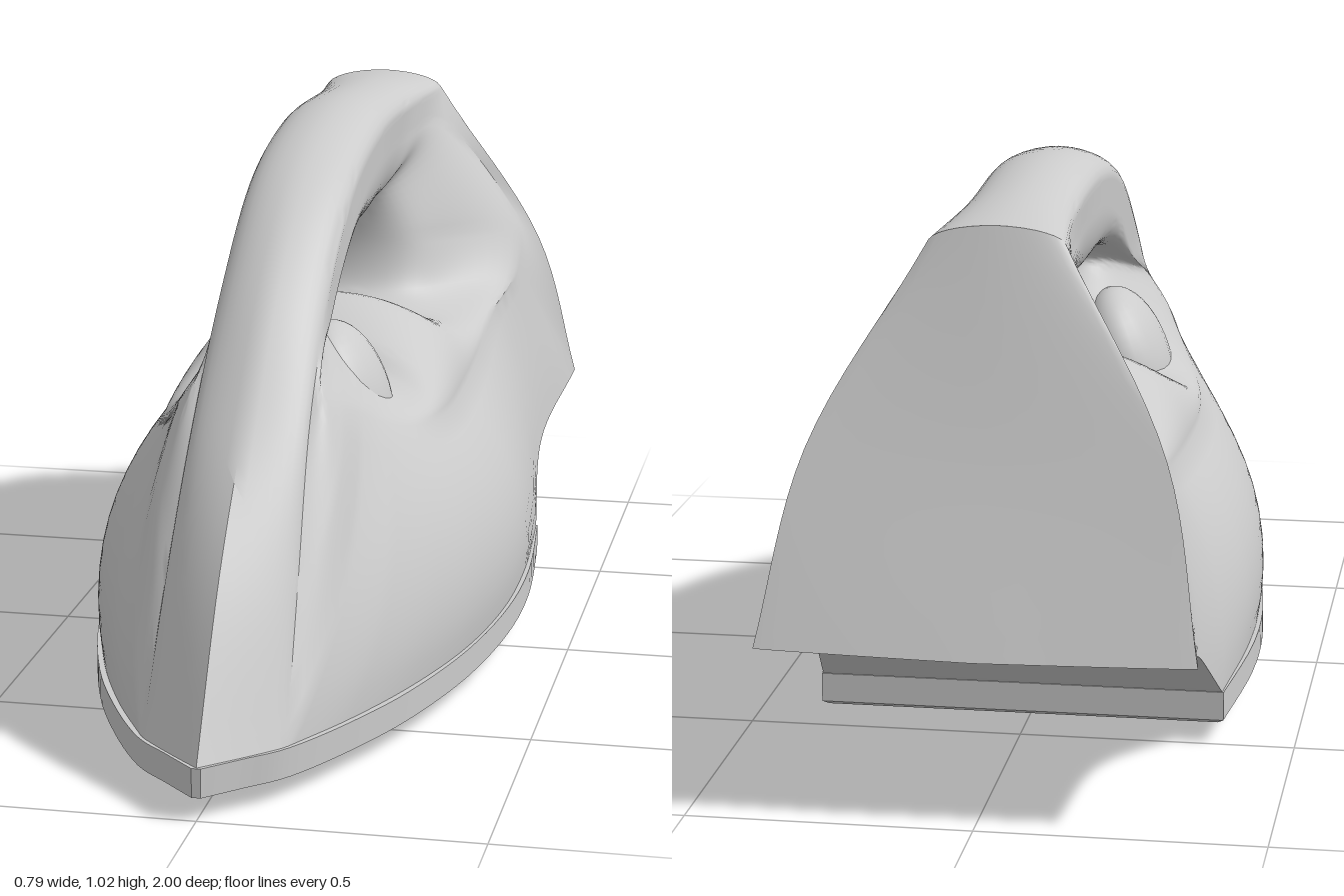
import * as THREE from 'three';
import { toCreasedNormals } from 'three/addons/utils/BufferGeometryUtils.js';

const material = new THREE.MeshStandardMaterial({ color: 0xcccccc });

// Matching loops seen from the side, [z, y, half width]: from the tip back
// along the sole, up the rear panel and forward over the handle.
const rim = [
  [.87, .09, .128], [.72, .09, .205], [.53, .09, .282], [.3, .09, .347], [.05, .09, .382],
  [-.2, .09, .386], [-.48, .09, .368], [-.68, .22, .348], [-.985, .3, .378],
  [-.865, .62, .31], [-.73, .955, .12], [-.5, .96, .1], [-.15, .965, .1],
  [.12, .91, .1], [.36, .765, .1], [.55, .59, .105], [.72, .34, .118],
];
const mouth = [
  [.42, .57, .17], [.36, .54, .195], [.28, .51, .225], [.18, .49, .25], [.04, .475, .265],
  [-.15, .47, .265], [-.38, .485, .26], [-.55, .53, .265], [-.72, .58, .288],
  [-.81, .66, .275], [-.7, .89, .135], [-.48, .91, .098], [-.15, .915, .098],
  [.1, .85, .098], [.32, .725, .098], [.5, .64, .115], [.48, .6, .145],
];
const hole = [
  [.1, .63], [.08, .58], [.06, .555], [.03, .56], [-.02, .605], [-.16, .65], [-.3, .59],
  [-.37, .56], [-.44, .59], [-.465, .69], [-.43, .795], [-.32, .785], [-.17, .775],
  [.03, .79], [.2, .765], [.25, .73], [.19, .68],
];
// The centre line leaves the rim only along the rounded top and nose.
const ridge = { 0: [1, .09], 8: [-.995, .295], 10: [-.74, .99], 11: [-.5, 1.008],
  12: [-.15, 1.02], 13: [.15, .957], 14: [.41, .8], 15: [.62, .59], 16: [.82, .37] };
const centre = rim.map(([z, y], i) => ridge[i] ?? [z, y]);
// Outward swell of the side wall and hollowing of the grip recess.
const swell = [.038, .048, .05, .05, .048, .045, .03, .01, 0, 0, 0, 0, 0, 0, 0, .008, .028];
const hollow = [.1, 0, 0, 0, 0, 0, 0, .12, .22, .25, .1, 0, 0, 0, 0, .1, .1];

const STEP = 8, COUNT = rim.length;
const vec = ([z, y, x = 0]) => new THREE.Vector3(x, y, z);

// Samples a loop, keeping sharp corners at the listed indices.
function sampleLoop(points, corners) {
  const p = points.map(vec);
  if (!corners) {
    const curve = new THREE.CatmullRomCurve3(p, true);
    return Array.from({ length: COUNT * STEP }, (_, i) => curve.getPoint(i / (COUNT * STEP)));
  }
  const out = [];
  corners.forEach((from, k) => {
    const to = corners[k + 1] ?? COUNT;
    const piece = [];
    for (let i = from; i <= to; i++) piece.push(p[i % COUNT]);
    const curve = new THREE.CatmullRomCurve3(piece), n = (to - from) * STEP;
    for (let i = 0; i < n; i++) out.push(curve.getPoint(i / n));
  });
  return out;
}

// Skins rows of points; every row is a closed loop.
function skin(rows, closed, crease) {
  const n = rows[0].length, index = [], position = [];
  rows.forEach(row => row.forEach(p => position.push(p.x, p.y, p.z)));
  const last = closed ? rows.length : rows.length - 1;
  for (let j = 0; j < last; j++) {
    for (let i = 0; i < n; i++) {
      const k = (j + 1) % rows.length, m = (i + 1) % n;
      const a = j * n + i, b = j * n + m, c = k * n + i, d = k * n + m;
      index.push(a, c, b, b, c, d);
    }
  }
  const geometry = new THREE.BufferGeometry();
  geometry.setAttribute('position', new THREE.Float32BufferAttribute(position, 3));
  geometry.setIndex(index);
  return toCreasedNormals(geometry, crease);
}

function bodyGeometry() {
  const corners = [0, 6, 8, 10];
  const R = sampleLoop(rim, corners), C = sampleLoop(centre, corners);
  const S = sampleLoop(mouth), H = sampleLoop(hole);
  const vary = (table, i) => {
    const k = Math.floor(i / STEP), f = (i % STEP) / STEP;
    return THREE.MathUtils.lerp(table[k], table[(k + 1) % COUNT], f);
  };
  const rows = [];
  // Hole edge out to the mouth of the recess
  for (let j = 0; j < 16; j++) {
    const t = (1 - j / 16) * Math.PI / 2;
    rows.push(S.map((s, i) => {
      const p = s.clone().lerp(H[i], Math.sin(t));
      p.x = j === 0 ? 0 : s.x * Math.cos(t) * (1 - vary(hollow, i) * Math.sin(2 * t) ** 2);
      return p;
    }));
  }
  // Side wall
  for (let j = 0; j < 10; j++) {
    const t = j / 10;
    rows.push(S.map((s, i) => {
      const p = s.clone().lerp(R[i], t);
      p.x += vary(swell, i) * 4 * t * (1 - t);
      return p;
    }));
  }
  // Ridge (pointed at the nose, round on the handle), rear panel and underside
  for (let j = 0; j <= 8; j++) {
    const t = (1 - j / 8) * Math.PI / 2;
    rows.push(R.map((r, i) => {
      const pointed = THREE.MathUtils.clamp(1 - r.y, 0, 1);
      const p = r.clone().lerp(C[i], THREE.MathUtils.lerp(Math.cos(t), 1 - Math.sin(t), pointed));
      p.x = r.x * Math.sin(t);
      return p;
    }));
  }
  // Mirrored half, leaving out the two rows on the centre plane
  const mirrored = rows.slice(1, -1).reverse()
    .map(row => row.map(p => new THREE.Vector3(-p.x, p.y, p.z)));
  return skin([...rows, ...mirrored], true, .6);
}

function soleGeometry() {
  const side = new THREE.SplineCurve([
    [.008, 1], [.068, .94], [.135, .87], [.212, .73], [.287, .55], [.353, .31], [.39, .05],
    [.395, -.2], [.37, -.49],
  ].map(([x, z]) => new THREE.Vector2(x, z))).getPoints(40);
  const outline = [...side, ...side.map(p => new THREE.Vector2(-p.x, p.y)).reverse()];
  // [scale, height] from the hidden top down to the belly of the sole
  const levels = [[0, .095], [1, .095], [1, .042], [.97, .034], [.6, .014], [.3, .004], [0, 0]];
  const rows = levels.map(([s, y]) =>
    outline.map(p => new THREE.Vector3(p.x * s, y, -.1 + (p.y + .1) * s)));
  return skin(rows, false, .5);
}

export function createModel() {
  const model = new THREE.Group();
  const add = (name, geometry) => {
    const mesh = new THREE.Mesh(geometry, material);
    mesh.name = name;
    model.add(mesh);
    return mesh;
  };
  add('bodyAndHandle', bodyGeometry());
  add('solePlate', soleGeometry());
  // Swollen foot of the front handle post, one boss on each side
  for (const side of [1, -1]) {
    const boss = add(side > 0 ? 'leftBoss' : 'rightBoss', new THREE.SphereGeometry(1, 28, 20));
    boss.scale.set(.08, .15, .13);
    boss.position.set(side * .105, .54, .21);
    boss.rotation.z = side * .3;
  }
  return model;
}
